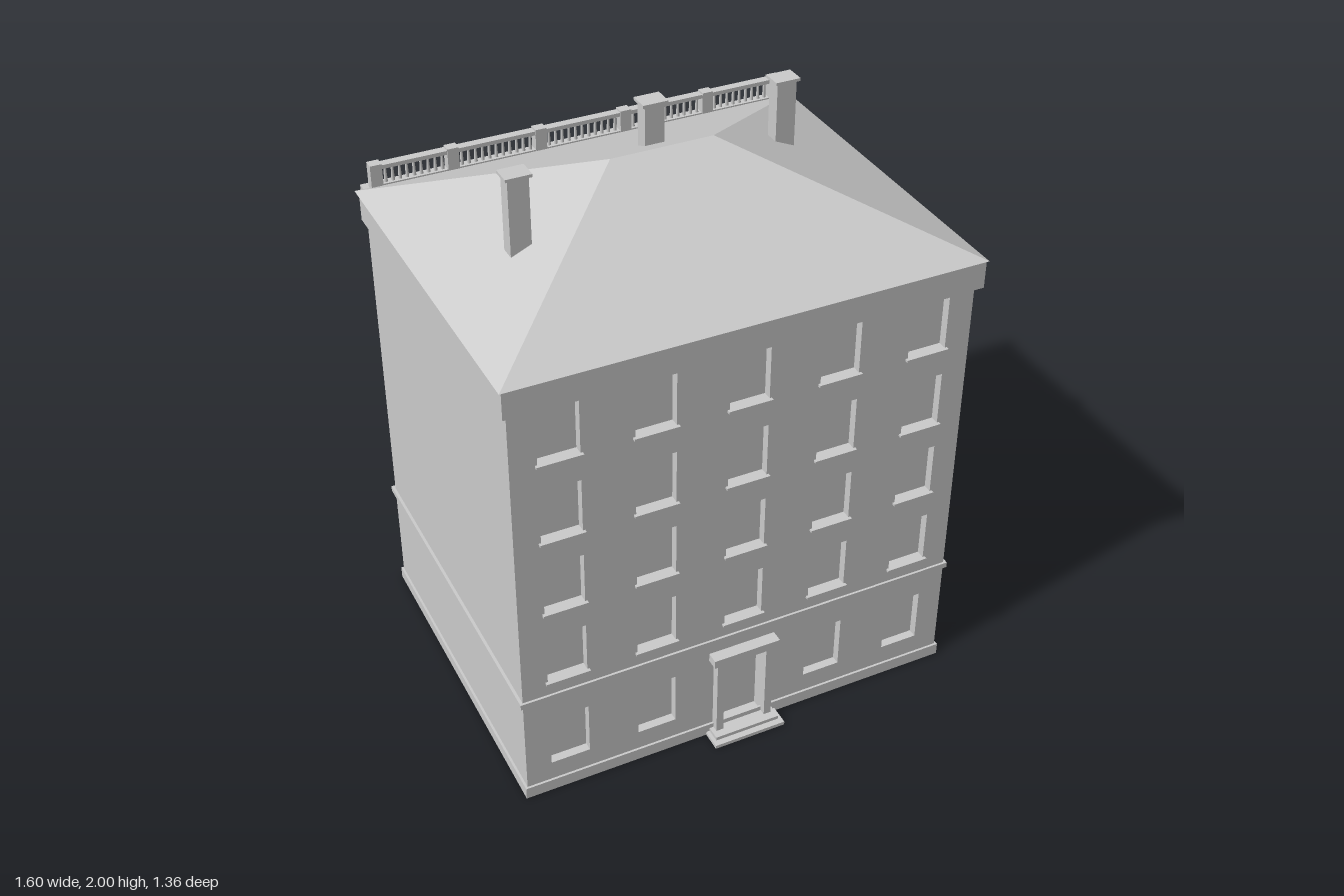
import * as THREE from 'three';

const stone = new THREE.MeshStandardMaterial({ color: 0xcccccc, side: THREE.DoubleSide });
stone.name = 'pale grey stone';

const COLS = [-0.62, -0.31, 0, 0.31, 0.62];
const ROWS = [[0.475, 0.66], [0.76, 0.945], [1.04, 1.23], [1.33, 1.515]];
const HX = 0.775, HZ = 0.6, EAVE = 1.63;

function add(parent, name, geo, x = 0, y = 0, z = 0) {
  const m = new THREE.Mesh(geo, stone);
  m.name = name;
  m.position.set(x, y, z);
  parent.add(m);
  return m;
}

// Box given by its limits
function block(parent, name, x0, x1, y0, y1, z0, z1) {
  return add(parent, name, new THREE.BoxGeometry(x1 - x0, y1 - y0, z1 - z0),
    (x0 + x1) / 2, (y0 + y1) / 2, (z0 + z1) / 2);
}

// Box centred on x, standing out from the wall plane
const slab = (p, name, x, w, y0, y1, depth) => block(p, name, x - w / 2, x + w / 2, y0, y1, 0, depth);

function rect(target, x0, x1, y0, y1) {
  target.moveTo(x0, y0);
  target.lineTo(x1, y0);
  target.lineTo(x1, y1);
  target.lineTo(x0, y1);
  target.closePath();
  return target;
}

// Remove one face of a box geometry (order: +x -x +y -y +z -z)
function dropFace(geo, face) {
  const idx = Array.from(geo.index.array);
  idx.splice(face * 6, 6);
  geo.setIndex(idx);
  geo.clearGroups();
  return geo;
}

// Wall plane pierced by openings, each backed by a shallow recess
function piercedWall(parent, openings) {
  const shape = rect(new THREE.Shape(), -HX, HX, 0, EAVE);
  for (const o of openings) {
    const w = o.w / 2, d = o.d ?? 0.03;
    shape.holes.push(rect(new THREE.Path(), o.x - w, o.x + w, o.y0, o.y1));
    add(parent, 'recess', dropFace(new THREE.BoxGeometry(o.w, o.y1 - o.y0, d), 4), o.x, (o.y0 + o.y1) / 2, -d / 2);
  }
  add(parent, 'wall', new THREE.ShapeGeometry(shape));
}

// Flat frame around an opening
function frame(parent, name, x, w, y0, y1, border, depth) {
  const h = w / 2, s = rect(new THREE.Shape(), x - h - border, x + h + border, y0 - border, y1 + border);
  s.holes.push(rect(new THREE.Path(), x - h, x + h, y0, y1));
  add(parent, name, new THREE.ExtrudeGeometry(s, { depth, bevelEnabled: false }));
}

// Band running round the building, open in the middle
function band(parent, name, ex, front, back, y0, y1) {
  const s = rect(new THREE.Shape(), -ex, ex, -front, back);
  s.holes.push(rect(new THREE.Path(), -HX, HX, -HZ, HZ));
  const g = new THREE.ExtrudeGeometry(s, { depth: y1 - y0, bevelEnabled: false });
  g.rotateX(-Math.PI / 2);
  add(parent, name, g, 0, y0, 0);
}

// Row of small posts along x
const post = new THREE.CylinderGeometry(0.004, 0.0065, 1, 8);
function balusters(parent, x0, x1, y0, y1, z, step) {
  const n = Math.round((x1 - x0) / step);
  for (let i = 0; i < n; i++) {
    add(parent, 'baluster', post, x0 + (x1 - x0) * (i + 0.5) / n, (y0 + y1) / 2, z).scale.y = y1 - y0;
  }
}

function frontFacade() {
  const g = new THREE.Group();
  g.name = 'frontFacade';
  const open = [{ x: 0, w: 0.155, y0: 0.025, y1: 0.33, d: 0.04 }];
  for (const x of COLS) {
    if (x) open.push({ x, w: 0.135, y0: 0.115, y1: 0.31 });
    for (const [y0, y1] of ROWS) {
      open.push({ x, w: 0.135, y0, y1 });
      slab(g, 'sill', x, 0.15, y0 - 0.008, y0, 0.012);
    }
  }
  piercedWall(g, open);
  // Entrance: jambs, lintel, transom and steps
  for (const s of [-1, 1]) slab(g, 'doorJamb', s * 0.09, 0.026, 0.025, 0.33, 0.03);
  slab(g, 'doorLintel', 0, 0.24, 0.33, 0.36, 0.042);
  block(g, 'doorTransom', -0.077, 0.077, 0.3, 0.33, -0.035, 0.015);
  slab(g, 'lowerStep', 0, 0.26, 0, 0.013, 0.08);
  slab(g, 'upperStep', 0, 0.235, 0.013, 0.026, 0.058);
  return g;
}

function balcony(x, y) {
  const g = new THREE.Group();
  g.name = 'balcony';
  g.position.set(x, y, 0);
  slab(g, 'balconyFloor', 0, 0.23, -0.016, 0, 0.08);
  for (const s of [-1, 1]) {
    slab(g, 'bracket', s * 0.08, 0.025, -0.055, -0.016, 0.06);
    block(g, 'cornerPost', s * 0.107 - 0.006, s * 0.107 + 0.006, 0, 0.07, 0.066, 0.078);
    block(g, 'sideRail', s * 0.107 - 0.007, s * 0.107 + 0.007, 0.068, 0.08, 0, 0.08);
    for (const z of [0.015, 0.042]) balusters(g, s * 0.107 - 0.01, s * 0.107 + 0.01, 0, 0.07, z, 0.02);
  }
  block(g, 'frontRail', -0.115, 0.115, 0.068, 0.08, 0.064, 0.081);
  balusters(g, -0.1, 0.1, 0, 0.07, 0.072, 0.022);
  return g;
}

function backFacade() {
  const g = new THREE.Group();
  g.name = 'backFacade';
  const open = [];
  COLS.forEach((x, c) => {
    // Shop fronts with fascia boards
    open.push({ x, w: 0.24, y0: 0.05, y1: 0.36, d: 0.025 });
    block(g, 'shopFascia', x - 0.125, x + 0.125, 0.325, 0.375, -0.02, 0.01);
    ROWS.forEach(([y0, y1], r) => {
      const door = (c === 2 && r === 2) || ((c === 1 || c === 3) && r === 1);
      const low = door ? y0 - 0.08 : y0;
      open.push({ x, w: 0.115, y0: low, y1 });
      frame(g, 'windowSurround', x, 0.115, low, y1, 0.014, 0.007);
      slab(g, 'windowHead', x, 0.17, y1 + 0.014, y1 + 0.026, 0.018);
      if (door) g.add(balcony(x, low));
      else {
        slab(g, 'sill', x, 0.17, y0 - 0.018, y0 - 0.004, 0.02);
        for (const s of [-1, 1]) slab(g, 'sillBracket', x + s * 0.06, 0.016, y0 - 0.036, y0 - 0.018, 0.013);
      }
      // Gabled heads on the first floor, away from the low balconies
      if (r === 0 && c % 2 === 0) {
        const s = new THREE.Shape([[-0.085, 0], [0.085, 0], [0, 0.035]].map(p => new THREE.Vector2(...p)));
        add(g, 'pediment', new THREE.ExtrudeGeometry(s, { depth: 0.015, bevelEnabled: false }), x, y1 + 0.026, 0);
      }
    });
  });
  piercedWall(g, open);
  // Pilasters
  for (const x of [-0.465, -0.155, 0.155, 0.465]) {
    slab(g, 'pilaster', x, 0.036, 0.72, 1.51, 0.01);
    slab(g, 'pilasterBase', x, 0.048, 0.7, 0.725, 0.015);
    slab(g, 'pilasterCapital', x, 0.052, 1.505, 1.54, 0.017);
  }
  // Stepped cornice with dentils
  slab(g, 'cornice', 0, 1.54, 1.605, 1.63, 0.06);
  slab(g, 'corniceStep', 0, 1.54, 1.58, 1.605, 0.035);
  slab(g, 'frieze', 0, 1.54, 1.54, 1.552, 0.012);
  for (let i = 0; i < 40; i++) slab(g, 'dentil', -0.741 + i * 0.038, 0.019, 1.56, 1.58, 0.022);
  // Roof balustrade
  const piers = [-0.728, -0.465, -0.155, 0.155, 0.465, 0.728];
  piers.forEach((x, i) => {
    block(g, 'balustradePier', x - 0.02, x + 0.02, 1.63, 1.718, 0.003, 0.039);
    if (i) balusters(g, piers[i - 1] + 0.022, x - 0.022, 1.642, 1.7, 0.021, 0.024);
  });
  block(g, 'balustradeRail', -0.74, 0.74, 1.698, 1.712, 0.006, 0.037);
  block(g, 'balustradeFoot', -0.74, 0.74, 1.63, 1.644, 0.006, 0.037);
  return g;
}

export function createModel() {
  const model = new THREE.Group();
  model.name = 'townHouse';

  const front = frontFacade();
  front.position.z = HZ;
  const back = backFacade();
  back.position.z = -HZ;
  back.rotation.y = Math.PI;
  model.add(front, back);

  // Plain side walls
  for (const s of [-1, 1]) {
    add(model, 'sideWall', new THREE.PlaneGeometry(2 * HZ, EAVE), s * HX, EAVE / 2, 0).rotation.y = s * Math.PI / 2;
  }

  // Plinth, string course and eaves band
  band(model, 'plinth', 0.783, 0.608, 0.606, 0, 0.043);
  band(model, 'stringCourse', 0.785, 0.608, 0.616, 0.4, 0.42);
  band(model, 'eavesBand', 0.793, 0.623, 0.602, 1.535, EAVE);

  // Hipped roof: a box whose top is drawn in to a ridge
  const roof = dropFace(new THREE.BoxGeometry(1.6, 0.275, 1.254), 2);
  const p = roof.attributes.position;
  for (let i = 0; i < p.count; i++) {
    if (p.getY(i) > 0) p.setXYZ(i, Math.sign(p.getX(i)) * 0.175, p.getY(i), 0);
  }
  const flat = roof.toNonIndexed();
  flat.computeVertexNormals();
  add(model, 'roof', flat, 0, EAVE + 0.1375, 0);

  // Chimneys with a thin cap
  for (const [x, z, y0] of [[-0.527, 0.112, 1.7], [0.027, -0.136, 1.8], [0.468, -0.095, 1.72]]) {
    const g = new THREE.Group();
    g.name = 'chimney';
    block(g, 'chimneyShaft', x - 0.034, x + 0.034, y0, 1.99, z - 0.026, z + 0.026);
    block(g, 'chimneyCap', x - 0.043, x + 0.043, 1.99, 2, z - 0.034, z + 0.034);
    model.add(g);
  }
  return model;
}
